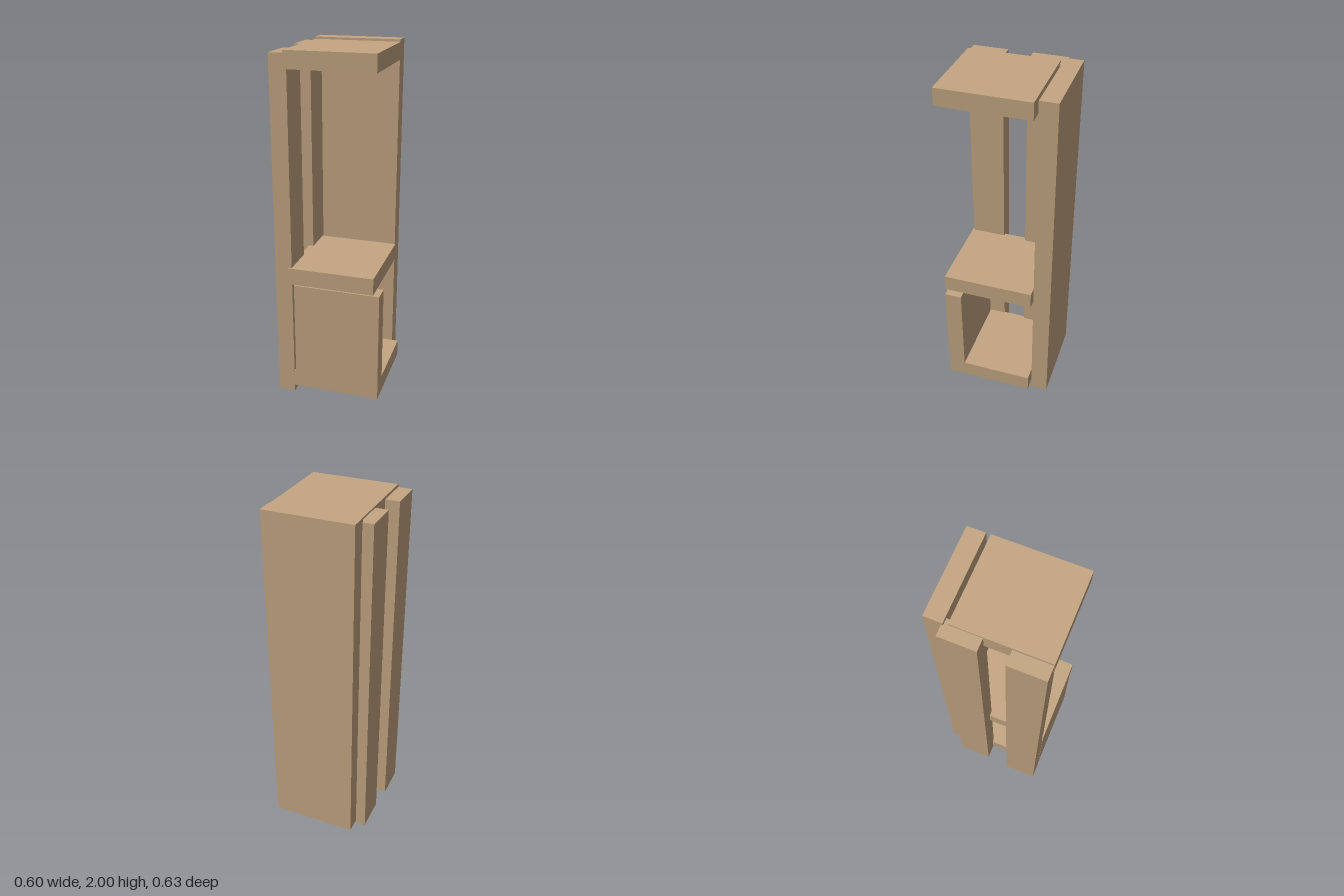
import * as THREE from 'three';

const wood = new THREE.MeshStandardMaterial({ color: 0xc4a682 });

// Board given by its extents along each axis
function board(name, [x0, x1], [y0, y1], [z0, z1]) {
  const mesh = new THREE.Mesh(new THREE.BoxGeometry(x1 - x0, y1 - y0, z1 - z0), wood);
  mesh.position.set((x0 + x1) / 2, (y0 + y1) / 2, (z0 + z1) / 2);
  mesh.name = name;
  return mesh;
}

export function createModel() {
  const group = new THREE.Group();
  group.name = 'shelfUnit';
  group.add(
    // Uprights: full back panel and two side posts
    board('backPanel', [-0.232, 0.261], [0.03, 2.0], [-0.316, -0.218]),
    board('frontSidePost', [-0.301, -0.204], [0, 1.975], [0.108, 0.305]),
    board('rearSidePost', [-0.291, -0.194], [0.013, 1.98], [-0.227, -0.03]),
    // Horizontal boards
    board('topShelf', [-0.222, 0.268], [1.895, 1.99], [-0.198, 0.307]),
    board('middleShelf', [-0.222, 0.268], [0.703, 0.8], [-0.204, 0.314]),
    board('baseShelf', [-0.21, 0.3], [0.04, 0.137], [-0.207, 0.305]),
    // Front of the lower compartment
    board('frontPanel', [-0.194, 0.3], [0.04, 0.693], [0.207, 0.305]),
  );
  return group;
}
